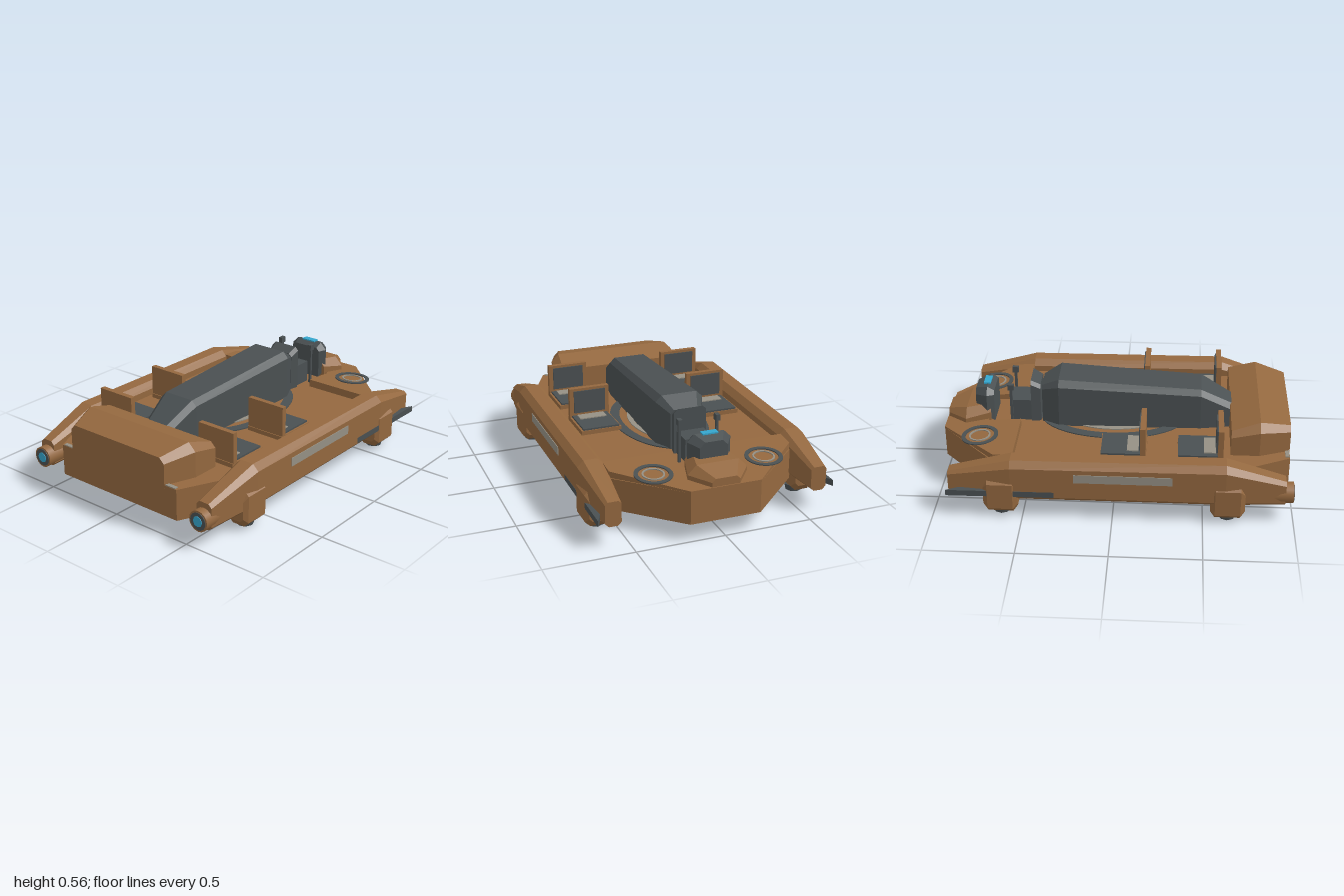
import * as THREE from 'three';

const mat = (name, color) => {
  const m = new THREE.MeshStandardMaterial({ color });
  m.name = name;
  return m;
};

export function createModel() {
  const group = new THREE.Group();
  const brown = mat('brown paint', 0x94683f);
  const dark = mat('dark grey metal', 0x4a5052);
  const pale = mat('pale grey trim', 0x959084);
  const blue = mat('blue glow', 0x35a5cc);

  const add = (name, geo, material, x = 0, y = 0, z = 0) => {
    const m = new THREE.Mesh(geo, material);
    m.name = name;
    m.position.set(x, y, z);
    group.add(m);
    return m;
  };
  // box from its min and max corners
  const box = (name, material, x0, x1, y0, y1, z0, z1) =>
    add(name, new THREE.BoxGeometry(Math.abs(x1 - x0), y1 - y0, z1 - z0), material,
      (x0 + x1) / 2, (y0 + y1) / 2, (z0 + z1) / 2);
  // faceted loft through chamfered sections, listed from front to back:
  // [z, centreX, halfWidth, bottom, top, topChamfer, bottomChamfer]
  const loft = (name, material, sections) => {
    const rings = sections.map(([z, cx, w, y0, y1, c, d = 0]) => [
      [cx - w + d, y0, z], [cx + w - d, y0, z], [cx + w, y0 + d, z], [cx + w, y1 - c, z],
      [cx + w - c, y1, z], [cx - w + c, y1, z], [cx - w, y1 - c, z], [cx - w, y0 + d, z]]);
    const v = [];
    const tri = (...p) => p.forEach((q) => v.push(...q));
    for (let k = 0; k < rings.length - 1; k++) {
      for (let i = 0; i < 8; i++) {
        const j = (i + 1) % 8, f = rings[k], b = rings[k + 1];
        tri(f[i], b[i], b[j]);
        tri(f[i], b[j], f[j]);
      }
    }
    const first = rings[0], last = rings[rings.length - 1];
    for (let i = 1; i < 7; i++) {
      tri(first[0], first[i], first[i + 1]);
      tri(last[0], last[i + 1], last[i]);
    }
    const g = new THREE.BufferGeometry();
    g.setAttribute('position', new THREE.Float32BufferAttribute(v, 3));
    g.computeVertexNormals();
    return add(name, g, material);
  };
  // horizontal plate from an outline of [x, z] points
  const extrude = (shape, y0, y1) =>
    new THREE.ExtrudeGeometry(shape, { depth: y1 - y0, bevelEnabled: false, curveSegments: 20 })
      .rotateX(-Math.PI / 2).translate(0, y0, 0);
  const plate = (pts, y0, y1) =>
    extrude(new THREE.Shape(pts.map(([x, z]) => new THREE.Vector2(x, -z))), y0, y1);
  const mirrored = (half) => [...half, ...half.map(([x, z]) => [-x, z]).reverse()];
  const ring = (rx, rz, ix, iz, y) => {
    const s = new THREE.Shape().absellipse(0, 0, rx, rz, 0, Math.PI * 2);
    s.holes.push(new THREE.Path().absellipse(0, 0, ix, iz, 0, Math.PI * 2));
    return extrude(s, y, y + 0.006);
  };

  // Hull, rear deck and fairings
  add('hull', plate(mirrored([[0.42, 0.98], [0.54, 0.73], [0.54, -0.67], [0.2, -1]]), 0.1, 0.28), brown);
  const rear = plate(mirrored([[0.15, -0.75], [0.15, -0.56], [0.53, -0.56], [0.53, -0.67], [0.2, -1]]), 0.27, 0.325);
  const rp = rear.attributes.position;
  for (let i = 0; i < rp.count; i++) {
    if (rp.getY(i) > 0.3) rp.setY(i, 0.325 + (rp.getZ(i) + 0.56) * 0.08);
  }
  rear.computeVertexNormals();
  add('rearDeck', rear, brown);
  loft('frontFairing', brown, [
    [0.982, 0, 0.34, 0.26, 0.43, 0.03], [0.81, 0, 0.405, 0.26, 0.47, 0.045], [0.65, 0, 0.405, 0.26, 0.42, 0.03]]);
  loft('rearFairing', brown, [
    [-0.74, 0, 0.13, 0.28, 0.39, 0.04], [-0.88, 0, 0.17, 0.28, 0.375, 0.05], [-0.995, 0, 0.08, 0.26, 0.335, 0.02]]);

  // Painted deck rings
  add('deckRing', ring(0.265, 0.43, 0.21, 0.37, 0.28), dark, 0, 0, -0.03);
  add('innerDeckRing', ring(0.17, 0.29, 0.14, 0.25, 0.28), pale, 0, 0, -0.03);

  // Central engine cowl
  loft('cowl', dark, [
    [0.68, 0, 0.09, 0.28, 0.41, 0.03], [0.48, 0, 0.125, 0.28, 0.52, 0.03],
    [-0.34, 0, 0.14, 0.28, 0.565, 0.035], [-0.44, 0, 0.09, 0.28, 0.51, 0.02]]);

  // Pilot station
  loft('pilotSeatBack', dark, [[-0.45, 0, 0.085, 0.28, 0.51, 0.02], [-0.505, 0, 0.095, 0.28, 0.54, 0.02]]);
  box('pilotSeat', dark, -0.08, 0.08, 0.28, 0.41, -0.63, -0.5);
  loft('console', dark, [
    [-0.72, 0, 0.1, 0.28, 0.47, 0.02], [-0.76, 0, 0.125, 0.32, 0.495, 0.04], [-0.83, 0, 0.08, 0.34, 0.47, 0.03]]);
  box('consoleScreen', blue, -0.045, 0.045, 0.492, 0.5, -0.785, -0.745);

  // Keel under the belly
  add('keelBlade', plate(mirrored([[0.155, 0.55], [0.31, 0.48], [0.31, 0.42], [0.13, 0], [0.04, -0.87]]), 0.045, 0.07), dark);
  loft('keelSpine', dark, [[0.5, 0, 0.14, 0.035, 0.105, 0], [-0.2, 0, 0.08, 0.045, 0.105, 0], [-0.8, 0, 0.03, 0.06, 0.105, 0]]);
  box('keelNose', dark, -0.065, 0.065, 0.035, 0.105, 0.45, 0.8);

  for (const s of [1, -1]) {
    const side = s > 0 ? 'left' : 'right';
    // Side pod with front thruster
    loft(side + 'Pod', brown, [
      [0.95, s * 0.58, 0.05, 0.1, 0.25, 0.02, 0.02], [0.62, s * 0.595, 0.075, 0.105, 0.357, 0.035, 0.03],
      [-0.56, s * 0.595, 0.075, 0.105, 0.35, 0.035, 0.03], [-0.91, s * 0.59, 0.045, 0.12, 0.26, 0.015, 0.02]]);
    const cyl = (r, h, n) => new THREE.CylinderGeometry(r, r, h, n).rotateX(Math.PI / 2);
    add(side + 'Thruster', cyl(0.06, 0.115, 16), brown, s * 0.578, 0.16, 0.937);
    add(side + 'ThrusterRim', cyl(0.05, 0.008, 16), dark, s * 0.578, 0.16, 0.994);
    add(side + 'ThrusterGlow', cyl(0.03, 0.006, 8), blue, s * 0.578, 0.16, 0.998);
    box(side + 'PodStripe', pale, s * 0.668, s * 0.674, 0.24, 0.29, -0.21, 0.33);
    // Tail fin along the pod
    add(side + 'TailFin', plate([[0.62, -0.3], [0.67, -0.32], [0.676, -0.92], [0.655, -0.88], [0.62, -0.8]]
      .map(([x, z]) => [x * s, z]), 0.135, 0.17), dark);

    // Lift legs with glowing feet
    for (const z of [0.635, -0.62]) {
      loft(side + 'Leg', brown, [
        [z + 0.095, s * 0.607, 0.05, 0.06, 0.2, 0.02, 0.02], [z + 0.07, s * 0.607, 0.068, 0.025, 0.24, 0.03, 0.03],
        [z - 0.07, s * 0.607, 0.068, 0.025, 0.24, 0.03, 0.03], [z - 0.095, s * 0.607, 0.05, 0.06, 0.2, 0.02, 0.02]]);
      add(side + 'Foot', new THREE.CylinderGeometry(0.055, 0.048, 0.035, 8), dark, s * 0.595, 0.0215, z);
      add(side + 'FootGlow', new THREE.CylinderGeometry(0.034, 0.034, 0.008, 8), blue, s * 0.595, 0.004, z);
    }

    // Rear-facing passenger seats
    for (const z of [0.18, 0.61]) {
      const x0 = s * 0.25, x1 = s * 0.49;
      box(side + 'SeatBase', brown, x0, x1, 0.28, 0.305, z - 0.26, z);
      box(side + 'SeatCushion', dark, s * 0.262, s * 0.478, 0.3, 0.315, z - 0.255, z - 0.035);
      box(side + 'SeatPad', pale, s * 0.29, s * 0.45, 0.314, 0.321, z - 0.11, z - 0.045);
      box(side + 'SeatBack', brown, x0, x1, 0.29, 0.48, z - 0.035, z - 0.005);
      box(side + 'SeatBackPad', dark, s * 0.275, s * 0.465, 0.33, 0.465, z - 0.042, z - 0.034);
    }

    // Round vents on the rear deck
    const vent = (name, geo, m) => {
      add(name, geo, m, s * 0.32, 0.308, -0.775).rotation.x = -0.08;
    };
    vent(side + 'VentRing', ring(0.105, 0.105, 0.082, 0.082, 0), dark);
    vent(side + 'VentInnerRing', ring(0.062, 0.062, 0.052, 0.052, 0), pale);

    // Control posts beside the pilot
    box(side + 'ControlPost', dark, s * 0.103, s * 0.117, 0.28, 0.5, -0.625, -0.61);
    box(side + 'ControlGrip', dark, s * 0.098, s * 0.122, 0.495, 0.53, -0.635, -0.6);

    // Keel blocks and belly bands running to the legs
    box(side + 'KeelBlock', dark, s * 0.065, s * 0.155, 0.03, 0.105, 0.45, 0.86);
    const band = (pts) => add(side + 'BellyBand', plate(pts.map(([x, z]) => [x * s, z]), 0.093, 0.1005), dark);
    band([[0.05, -0.32], [0.38, -0.6], [0.38, -0.8], [0.43, -0.76], [0.43, -0.58], [0.05, -0.25]]);
    band([[0.25, 0.4], [0.53, 0.58], [0.53, 0.65], [0.25, 0.47]]);
    // Trim on the front hull corners
    box(side + 'FrontTrim', pale, s * 0.34, s * 0.41, 0.278, 0.285, 0.955, 0.978);
  }
  return group;
}
